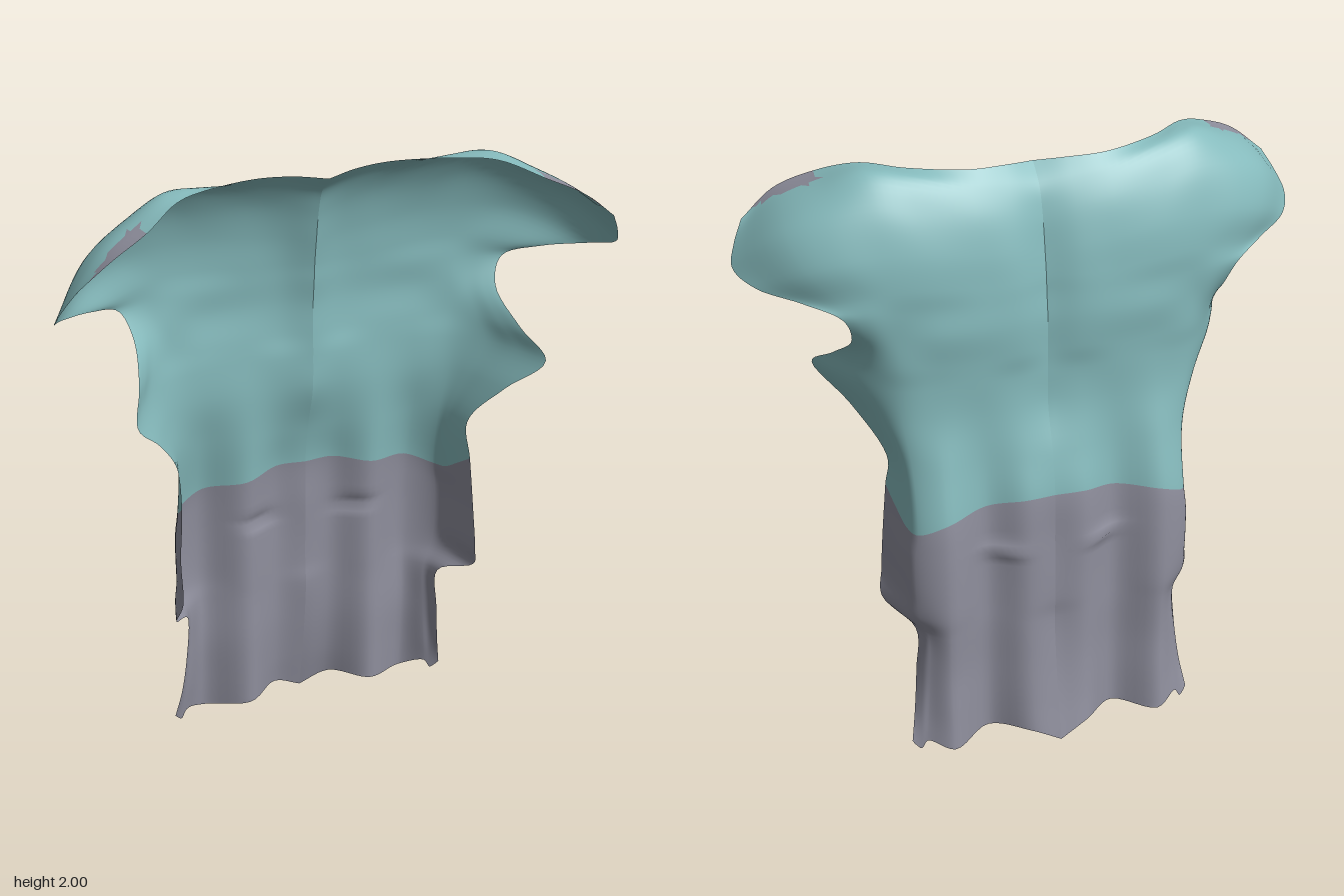
import * as THREE from 'three';

const teal = new THREE.MeshStandardMaterial({ color: 0x86bbbd, side: THREE.DoubleSide });
teal.name = 'tealCloth';
const grey = new THREE.MeshStandardMaterial({ color: 0x8f8f9d, side: THREE.DoubleSide });
grey.name = 'greyCloth';

const SUB = 6; // subdivisions between control points

// Shoulder yoke: each row runs from the spine out to the cap edge, as [x, y, z]
const yoke = [
  [[0, 1.97, .03], [.1, 1.98, 0], [.22, 1.985, -.01], [.4, 1.992, .05], [.52, 1.995, .13], [.64, 1.95, .22], [.76, 1.895, .26], [.865, 1.81, .25]],
  [[0, 1.91, -.03], [.1, 1.925, -.045], [.22, 1.94, -.05], [.4, 1.98, -.01], [.53, 1.995, .03], [.66, 1.94, .08], [.78, 1.87, .14], [.9, 1.745, .215]],
  [[0, 1.83, -.06], [.1, 1.845, -.085], [.22, 1.86, -.095], [.4, 1.89, -.075], [.53, 1.91, -.05], [.67, 1.88, -.01], [.79, 1.815, .045], [.918, 1.69, .175]],
  [[0, 1.73, -.08], [.1, 1.74, -.115], [.22, 1.75, -.125], [.38, 1.77, -.12], [.52, 1.78, -.1], [.65, 1.76, -.075], [.75, 1.725, -.03], [.87, 1.655, .075]],
  [[0, 1.64, -.095], [.1, 1.645, -.13], [.22, 1.65, -.137], [.37, 1.66, -.135], [.49, 1.665, -.12], [.58, 1.655, -.1], [.66, 1.64, -.07], [.75, 1.627, -.02]],
];

// Back and skirt: y, z at four points across the back, side corner x and z, edge x and z
const lower = [
  [1.585, -.1, -.135, -.142, -.135, .48, -.12, .645, -.085],
  [1.5, -.11, -.14, -.148, -.14, .48, -.115, .612, -.055],
  [1.4, -.11, -.135, -.14, -.13, .48, -.11, .64, .08],
  [1.32, -.11, -.125, -.135, -.125, .48, -.1, .682, .19],
  [1.2, -.115, -.13, -.13, -.13, .47, -.1, .585, .1],
  [1.05, -.16, -.16, -.135, -.16, .45, -.12, .5, 0],
  [.9, -.185, -.19, -.145, -.195, .45, -.16, .5, .03],
  [.75, -.185, -.2, -.15, -.205, .46, -.16, .512, .04],
  [.6, -.19, -.2, -.15, -.21, .46, -.16, .515, .06],
  [.52, -.19, -.2, -.15, -.21, .45, -.16, .528, .02],
  [.45, -.185, -.2, -.15, -.205, .42, -.16, .45, -.1],
  [.3, -.2, -.205, -.145, -.2, .42, -.16, .455, -.11],
  [.15, -.225, -.22, -.145, -.21, .43, -.165, .47, -.13],
  [.03, -.255, -.235, -.145, -.22, .44, -.175, .488, -.155],
];
const DYE_ROW = 6; // lower row where teal meets grey
const dyeLine = [.91, .91, .89, .87, .835, .84, .88, .93];
const hemLine = [.005, .05, .045, .025, .05, .02, .03, .045];

function lowerRow([y, z0, z1, z2, z3, cx, cz, ex, ez], i) {
  const pts = [[0, z0], [.1, z1], [.22, z2], [.36, z3]];
  for (const f of [0, 1 / 3, 2 / 3, 1]) {
    pts.push([THREE.MathUtils.lerp(cx, ex, f ** .75), THREE.MathUtils.lerp(cz, ez, f ** 1.25)]);
  }
  return pts.map(([x, z], c) => {
    const rowY = i === DYE_ROW ? dyeLine[c] : i === lower.length - 1 ? hemLine[c] : y;
    return [x, rowY, z];
  });
}

// Smoothly resample a line of points
function smooth(points) {
  const curve = new THREE.CatmullRomCurve3(points);
  const n = (points.length - 1) * SUB;
  return Array.from({ length: n + 1 }, (_, i) => curve.getPoint(i / n));
}

function buildGrid() {
  const rows = [...yoke, ...lower.map(lowerRow)]
    .map(row => smooth(row.map(p => new THREE.Vector3(...p))));
  const columns = rows[0].map((_, c) => smooth(rows.map(r => r[c])));
  // Small pinched fold on each side of the skirt
  for (const p of columns.flat()) {
    p.z -= .022 * Math.exp(-(((p.x - .17) / .06) ** 2) - ((p.y - .73) / .018) ** 2);
    p.y = Math.min(p.y, 2);
  }
  return columns;
}

// One half of the garment; side is +1 for left and -1 for right
function half(columns, side) {
  const nc = columns.length, nr = columns[0].length;
  const positions = columns.flat().flatMap(p => [p.x * side, p.y, p.z]);
  const tealFaces = [], greyFaces = [];
  const dyeStart = (yoke.length + DYE_ROW) * SUB;
  for (let c = 0; c < nc - 1; c++) {
    for (let r = 0; r < nr - 1; r++) {
      const a = c * nr + r, b = a + 1, d = a + nr, e = d + 1;
      for (const [i, j, k] of [[a, d, b], [b, d, e]]) {
        const x = Math.abs(positions[i * 3] + positions[j * 3] + positions[k * 3]) / 3;
        const z = (positions[i * 3 + 2] + positions[j * 3 + 2] + positions[k * 3 + 2]) / 3;
        // Grey patch on the front tip of the shoulder cap
        const patch = r < 2 * SUB && x > .64 && z > .15 + Math.max(0, x - .68) * .7;
        const list = r >= dyeStart || patch ? greyFaces : tealFaces;
        list.push(...(side > 0 ? [i, j, k] : [i, k, j]));
      }
    }
  }
  const geometry = new THREE.BufferGeometry();
  geometry.setAttribute('position', new THREE.Float32BufferAttribute(positions, 3));
  geometry.setIndex([...tealFaces, ...greyFaces]);
  geometry.addGroup(0, tealFaces.length, 0);
  geometry.addGroup(tealFaces.length, greyFaces.length, 1);
  geometry.computeVertexNormals();
  const mesh = new THREE.Mesh(geometry, [teal, grey]);
  mesh.name = side > 0 ? 'leftGarmentHalf' : 'rightGarmentHalf';
  return mesh;
}

export function createModel() {
  const group = new THREE.Group();
  group.name = 'garmentBack';
  const columns = buildGrid();
  group.add(half(columns, 1), half(columns, -1));
  return group;
}
